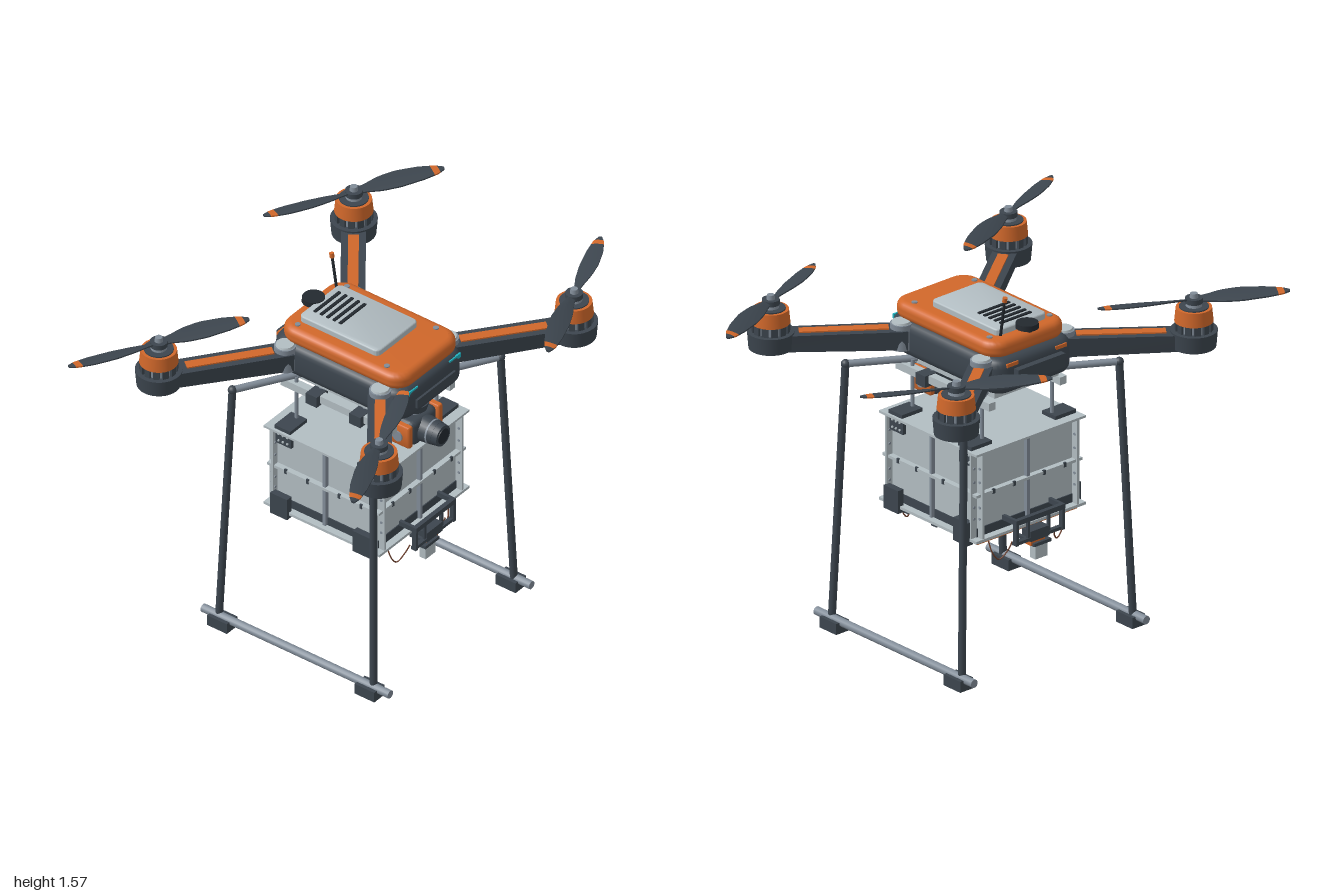
import * as THREE from 'three';
import { toCreasedNormals } from 'three/addons/utils/BufferGeometryUtils.js';

const paint = (name, color) => Object.assign(new THREE.MeshStandardMaterial({ color }), { name });
const ZC = 0.013; // fore-aft centre of the airframe
const SIDES = [-1, 1];

export function createModel() {
  const dark = paint('charcoal', 0x3c454e), black = paint('black', 0x23292f);
  const orange = paint('orange', 0xd0672a), light = paint('light grey', 0xb2bdc2);
  const steel = paint('steel', 0x818c98), cyan = paint('cyan', 0x20b2c0), wire = paint('brown wire', 0x70402c);
  const model = new THREE.Group();
  model.name = 'deliveryDrone';

  const group = (name, parent = model) => {
    const g = new THREE.Group();
    g.name = name;
    parent.add(g);
    return g;
  };
  const add = (p, name, geo, mat, x = 0, y = 0, z = 0) => {
    const m = new THREE.Mesh(geo, mat);
    m.name = name;
    m.position.set(x, y, z);
    p.add(m);
    return m;
  };
  const box = (p, name, mat, w, h, d, x, y, z) => add(p, name, new THREE.BoxGeometry(w, h, d), mat, x, y, z);
  const cyl = (p, name, mat, r1, r2, h, x, y, z, axis = 'y', n = 24) => {
    const g = new THREE.CylinderGeometry(r1, r2, h, n);
    if (axis === 'x') g.rotateZ(-Math.PI / 2);
    if (axis === 'z') g.rotateX(Math.PI / 2);
    return add(p, name, g, mat, x, y, z);
  };
  const rod = (p, name, mat, a, b, r) => {
    const A = new THREE.Vector3(...a), B = new THREE.Vector3(...b), d = B.clone().sub(A);
    const m = cyl(p, name, mat, r, r, d.length(), ...A.add(B).multiplyScalar(0.5).toArray(), 'y', 14);
    m.quaternion.setFromUnitVectors(new THREE.Vector3(0, 1, 0), d.normalize());
  };
  // Horizontal rounded slab with rounded top and bottom edges
  const slab = (p, name, mat, w, h, d, r, b, x, y, z) => {
    const s = new THREE.Shape(), X = w / 2 - b, Y = d / 2 - b;
    s.absarc(X - r, Y - r, r, 0, Math.PI / 2);
    s.absarc(r - X, Y - r, r, Math.PI / 2, Math.PI);
    s.absarc(r - X, r - Y, r, Math.PI, Math.PI * 1.5);
    s.absarc(X - r, r - Y, r, Math.PI * 1.5, Math.PI * 2);
    const g = new THREE.ExtrudeGeometry(s, { depth: h - 2 * b, bevelThickness: b, bevelSize: b, bevelSegments: 4, curveSegments: 6 });
    g.rotateX(-Math.PI / 2).translate(0, b - h / 2, 0);
    return add(p, name, toCreasedNormals(g, 0.6), mat, x, y, z);
  };

  // Fuselage
  const body = group('fuselage');
  slab(body, 'lowerHull', dark, 0.43, 0.155, 0.675, 0.04, 0.04, 0, 1.245, 0.02);
  slab(body, 'upperShell', orange, 0.41, 0.075, 0.63, 0.05, 0.03, 0, 1.352, 0.03);
  slab(body, 'topPanel', light, 0.267, 0.035, 0.4, 0.015, 0.008, -0.002, 1.4, -0.025);
  for (let i = 0; i < 5; i++) box(body, 'ventSlot', black, 0.165, 0.008, 0.013, 0, 1.419, -0.185 + i * 0.032);
  for (const s of SIDES) {
    for (const z of [-0.21, 0.24]) cyl(body, 'shellScrew', steel, 0.012, 0.012, 0.008, s * 0.16, 1.39, z, 'y', 12);
    box(body, 'frontLight', cyan, 0.075, 0.02, 0.008, s * 0.14, 1.298, 0.349);
    box(body, 'rearLight', orange, 0.06, 0.015, 0.008, s * 0.13, 1.298, -0.312);
  }
  box(body, 'rearVent', dark, 0.25, 0.06, 0.04, 0, 1.25, -0.325);
  box(body, 'frontBumper', dark, 0.25, 0.04, 0.025, 0, 1.235, 0.355);
  box(body, 'bellyPlate', light, 0.34, 0.035, 0.53, 0, 1.155, ZC);
  cyl(body, 'gpsPuck', black, 0.046, 0.048, 0.022, -0.005, 1.41, -0.25);
  cyl(body, 'gpsStem', black, 0.02, 0.025, 0.04, -0.005, 1.39, -0.25);
  rod(body, 'antenna', black, [0.115, 1.37, -0.222], [0.115, 1.55, -0.25], 0.006);
  rod(body, 'antennaTip', orange, [0.115, 1.545, -0.249], [0.115, 1.565, -0.253], 0.01);

  // Propeller blade: a box reshaped by chord and twist along its length
  const LEN = 0.393;
  const chords = [[0, 0.03], [0.12, 0.034], [0.3, 0.068], [0.5, 0.082], [0.75, 0.07], [0.92, 0.046], [1, 0.014]];
  const chordAt = t => {
    const i = Math.max(1, chords.findIndex(c => c[0] >= t - 1e-6));
    const [a, b] = [chords[i - 1], chords[i]];
    return a[1] + (b[1] - a[1]) * (t - a[0]) / (b[0] - a[0]);
  };
  const bladeGeo = (t0, t1, spin) => {
    const g = new THREE.BoxGeometry(1, 1, 1, Math.ceil((t1 - t0) * 16), 1, 4), p = g.attributes.position;
    for (let i = 0; i < p.count; i++) {
      const t = t0 + (p.getX(i) + 0.5) * (t1 - t0), v = p.getZ(i), c = chordAt(t);
      const twist = spin * (0.42 - 0.3 * t);
      const w = c * v + spin * 0.006 * Math.sin(t * Math.PI), h = p.getY(i) * 0.009 * (1.15 - 2 * v * v);
      p.setXYZ(i, t * LEN, h + w * Math.sin(twist), w * Math.cos(twist));
    }
    g.computeVertexNormals();
    return toCreasedNormals(g, 0.7);
  };

  // Arms, motors and propellers
  for (const sx of SIDES) for (const sz of SIDES) {
    const arm = group('armAssembly');
    arm.position.set(sx * 0.2, 0, ZC + sz * 0.225);
    arm.rotation.y = Math.atan2(-sz * 0.331, sx * 0.435);
    const L = 0.547;
    const g = new THREE.BoxGeometry(L, 0.085, 0.1, 1, 1, 1), p = g.attributes.position;
    for (let i = 0; i < p.count; i++) {
      if (p.getX(i) > 0) p.setY(i, p.getY(i) * 0.85 + 0.003);
      if (p.getY(i) < 0) p.setZ(i, p.getZ(i) * 0.8);
    }
    g.computeVertexNormals();
    add(arm, 'arm', g, dark, L / 2, 1.253, 0);
    box(arm, 'armStripe', orange, 0.36, 0.008, 0.043, 0.255, 1.296, 0).rotation.z = -0.008;
    cyl(arm, 'armHinge', steel, 0.045, 0.045, 0.11, 0.025, 1.262, 0);
    cyl(arm, 'hingeCap', light, 0.036, 0.04, 0.012, 0.025, 1.319, 0);

    const motor = group('motor');
    motor.position.set(sx * 0.635, 0, ZC + sz * 0.556);
    cyl(motor, 'motorPod', dark, 0.096, 0.09, 0.072, 0, 1.264, 0, 'y', 32);
    cyl(motor, 'statorCore', steel, 0.068, 0.068, 0.045, 0, 1.32, 0);
    for (let i = 0; i < 12; i++) {
      const a = i * Math.PI / 6;
      box(motor, 'statorFin', dark, 0.014, 0.04, 0.026, Math.cos(a) * 0.07, 1.32, Math.sin(a) * 0.07).rotation.y = -a;
    }
    cyl(motor, 'motorBell', orange, 0.073, 0.079, 0.06, 0, 1.367, 0, 'y', 32);
    cyl(motor, 'bellTop', dark, 0.06, 0.06, 0.008, 0, 1.398, 0, 'y', 32);
    cyl(motor, 'propMount', steel, 0.03, 0.034, 0.02, 0, 1.408, 0);
    cyl(motor, 'propHub', dark, 0.036, 0.036, 0.022, 0, 1.427, 0);
    cyl(motor, 'propNut', steel, 0.015, 0.018, 0.022, 0, 1.446, 0);
    const prop = group('propeller', motor);
    prop.position.y = 1.428;
    prop.rotation.y = sz > 0 ? 0.39 : -0.497;
    for (const turn of [0, Math.PI]) {
      const blade = group('blade', prop);
      blade.rotation.y = turn;
      add(blade, 'bladeMain', bladeGeo(0.04, 0.87, sz), dark);
      add(blade, 'bladeBand', bladeGeo(0.87, 0.94, sz), orange);
      add(blade, 'bladeTip', bladeGeo(0.94, 1, sz), dark);
    }

    // Landing leg with its foot clamp
    const top = [sx * 0.415, 1.155, ZC + sz * 0.355], foot = [sx * 0.457, 0.04, ZC + sz * 0.39];
    const leg = group('landingLeg');
    rod(leg, 'legStrut', steel, [sx * 0.15, 1.155, ZC + sz * 0.2], top, 0.015);
    add(leg, 'legElbow', new THREE.SphereGeometry(0.019, 14, 10), dark, ...top);
    rod(leg, 'legTube', dark, top, foot, 0.016);
    box(leg, 'footClamp', dark, 0.068, 0.048, 0.1, sx * 0.46, 0.024, ZC + sz * 0.372);
  }
  for (const s of SIDES) {
    rod(model, 'skid', steel, [s * 0.46, 0.045, 0.49], [s * 0.46, 0.045, -0.455], 0.018);
    // Payload rail under the belly
    box(model, 'payloadRail', light, 0.035, 0.034, 0.56, s * 0.19, 1.112, 0.02);
    for (const z of [0.13, -0.09]) {
      box(model, 'railClamp', dark, 0.075, 0.05, 0.056, s * 0.19, 1.107, z);
      rod(model, 'clampPost', steel, [s * 0.16, 1.12, z], [s * 0.16, 1.16, z], 0.01);
    }
  }

  // Camera gimbal
  const cam = group('cameraGimbal');
  cyl(cam, 'gimbalMount', dark, 0.06, 0.05, 0.035, 0, 1.118, 0.257);
  cyl(cam, 'gimbalPost', steel, 0.028, 0.028, 0.09, 0, 1.1, 0.257);
  slab(cam, 'cameraBody', dark, 0.172, 0.115, 0.115, 0.015, 0.022, 0, 1.023, 0.257);
  for (const s of SIDES) {
    slab(cam, 'cameraCheek', orange, 0.028, 0.104, 0.115, 0.002, 0.008, s * 0.097, 1.028, 0.257);
    cyl(cam, 'pivotCap', steel, 0.024, 0.024, 0.01, s * 0.112, 1.022, 0.257, 'x');
  }
  cyl(cam, 'lensBarrel', dark, 0.05, 0.058, 0.07, 0, 1.02, 0.34, 'z');
  cyl(cam, 'lensRing', steel, 0.054, 0.054, 0.008, 0, 1.02, 0.35, 'z');
  cyl(cam, 'lensHood', dark, 0.046, 0.05, 0.03, 0, 1.02, 0.385, 'z');
  cyl(cam, 'lensGlass', black, 0.034, 0.034, 0.006, 0, 1.02, 0.4, 'z');

  // Cargo crate with crossing corner fins, ribs and skirts
  const crate = group('cargoCrate');
  box(crate, 'crateCore', light, 0.505, 0.37, 0.505, 0, 0.74, ZC);
  box(crate, 'crateRim', light, 0.585, 0.01, 0.585, 0, 0.93, ZC);
  box(crate, 'crateMidRib', light, 0.565, 0.012, 0.565, 0, 0.745, ZC);
  box(crate, 'crateFloorRim', light, 0.585, 0.012, 0.585, 0, 0.55, ZC);
  box(crate, 'crateSkirt', dark, 0.525, 0.037, 0.525, 0, 0.576, ZC);
  for (const s of SIDES) {
    box(crate, 'sidePanel', light, 0.01, 0.385, 0.58, s * 0.253, 0.74, ZC);
    box(crate, 'endPanel', light, 0.58, 0.385, 0.01, 0, 0.74, ZC + s * 0.253);
    box(crate, 'sideRib', steel, 0.03, 0.37, 0.014, s * 0.262, 0.745, ZC);
    box(crate, 'endRib', steel, 0.014, 0.37, 0.03, 0, 0.745, ZC + s * 0.262);
    for (const t of SIDES) {
      for (const y of [0.64, 0.69, 0.8, 0.86]) {
        cyl(crate, 'finBolt', steel, 0.006, 0.006, 0.016, s * 0.253, y, ZC + t * 0.275, 'x', 8);
        cyl(crate, 'finBolt', steel, 0.006, 0.006, 0.016, s * 0.275, y, ZC + t * 0.253, 'z', 8);
      }
      const z = ZC + t * 0.208;
      rod(crate, 'hangerRod', steel, [s * 0.187, 0.93, z], [s * 0.187, 1.155, z], 0.008);
      box(crate, 'hangerPad', dark, 0.11, 0.016, 0.08, s * 0.225, 0.943, z);
      box(crate, 'hangerPlate', dark, 0.016, 0.075, 0.08, s * 0.266, 0.9, z);
      for (const dy of SIDES) for (const dz of [-1, 0, 1])
        cyl(crate, 'hangerBolt', light, 0.005, 0.005, 0.008, s * 0.275, 0.895 + dy * 0.016, z + dz * 0.022, 'x', 8);
      box(crate, 'lowerBracket', dark, 0.03, 0.1, 0.085, s * 0.289, 0.576, z);
      for (const k of [0.08, 0.19]) {
        box(crate, 'ribBolt', dark, 0.008, 0.02, 0.012, s * 0.28, 0.745, ZC + t * k);
        box(crate, 'ribBolt', dark, 0.012, 0.02, 0.008, s * k, 0.745, ZC + t * 0.28);
      }
    }
  }

  // Drop doors underneath
  for (const s of SIDES) {
    box(crate, 'dropDoor', orange, 0.262, 0.018, 0.535, s * 0.135, 0.535, ZC);
    for (const z of [-0.17, 0, 0.17]) {
      box(crate, 'doorRib', orange, 0.24, 0.008, 0.014, s * 0.135, 0.523, ZC + z);
      box(crate, 'doorHinge', dark, 0.05, 0.014, 0.03, s * 0.235, 0.522, ZC + z);
    }
    for (const z of [-0.1, 0.1]) box(crate, 'doorCatch', dark, 0.03, 0.014, 0.06, s * 0.035, 0.522, ZC + z);
  }

  // Release latches and wires at both ends
  for (const t of SIDES) {
    const latch = group('releaseLatch');
    const z = ZC + t * 0.32;
    box(latch, 'latchTopBar', dark, 0.26, 0.022, 0.02, 0, 0.606, z + t * 0.022);
    box(latch, 'latchLowBar', dark, 0.26, 0.014, 0.02, 0, 0.512, z + t * 0.015);
    box(latch, 'latchBlock', dark, 0.1, 0.045, 0.05, 0, 0.522, z);
    box(latch, 'latchBolt', orange, 0.075, 0.024, 0.045, 0, 0.487, z - t * 0.01);
    box(latch, 'servo', light, 0.064, 0.07, 0.032, -0.016, 0.445, z);
    box(latch, 'servoCap', dark, 0.09, 0.014, 0.05, -0.016, 0.478, z);
    for (const s of SIDES) {
      box(latch, 'latchUpright', dark, 0.014, 0.11, 0.02, s * 0.123, 0.56, z + t * 0.02);
      box(latch, 'latchTie', dark, 0.014, 0.022, 0.08, s * 0.123, 0.606, z - t * 0.015);
      box(latch, 'latchTie', dark, 0.014, 0.014, 0.07, s * 0.06, 0.512, z - t * 0.015);
      box(latch, 'latchPost', dark, 0.012, 0.09, 0.012, s * 0.055, 0.56, z + t * 0.015);
      const loop = [[0.195, 0.53, 0.25], [0.185, 0.465, 0.27], [0.155, 0.433, 0.275], [0.125, 0.465, 0.29], [0.115, 0.512, 0.31]];
      const curve = new THREE.CatmullRomCurve3(loop.map(([x, y, d]) => new THREE.Vector3(s * x, y, ZC + t * d)));
      add(latch, 'releaseWire', new THREE.TubeGeometry(curve, 20, 0.003, 6), wire);
    }
  }
  return model;
}
